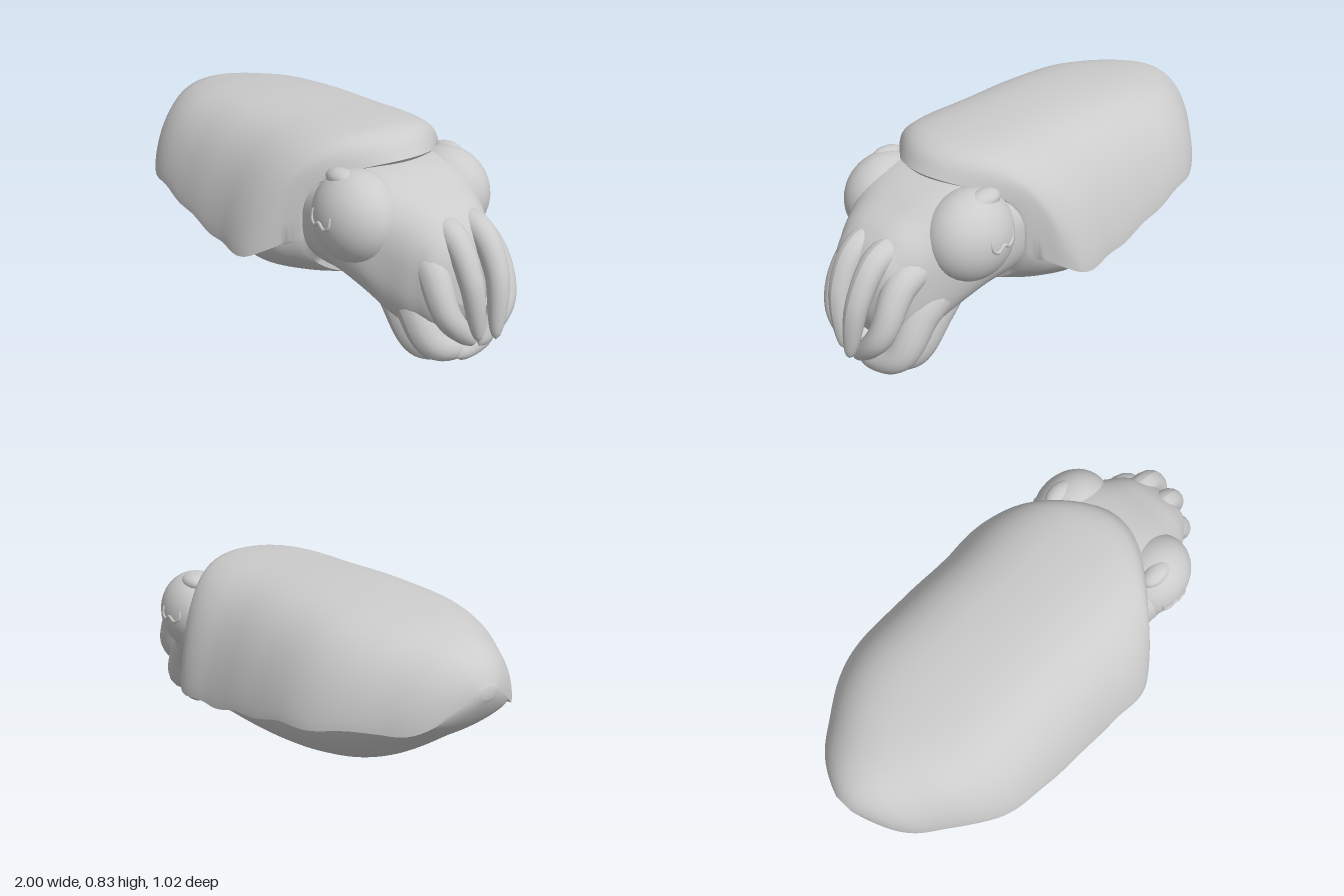
import * as THREE from 'three';
import { toCreasedNormals } from 'three/addons/utils/BufferGeometryUtils.js';

const material = new THREE.MeshStandardMaterial({ color: 0xcccccc, side: THREE.DoubleSide });
const { smoothstep, lerp } = THREE.MathUtils;

function add(parent, name, geometry) {
  const mesh = new THREE.Mesh(geometry, material);
  mesh.name = name;
  parent.add(mesh);
  return mesh;
}

// Skin rings along x. Rows hold [x, top, bottom, halfWidth, edgeHeight], splined in between.
function loft(rows, section, nx, nr) {
  const spline = new THREE.CubicInterpolant(rows.map(r => r[0]), rows.flatMap(r => r.slice(1)), 4);
  const x0 = rows[0][0], x1 = rows[rows.length - 1][0];
  const pos = [], index = [];
  for (let i = 0; i <= nx; i++) {
    const x = lerp(x0, x1, (1 - Math.cos(Math.PI * i / nx)) / 2);
    const [top, bottom, w, edge] = spline.evaluate(x);
    for (let j = 0; j < nr; j++) pos.push(...section(x, top, bottom, w, edge, 2 * Math.PI * j / nr));
  }
  for (let i = 0; i < nx; i++) for (let j = 0; j < nr; j++) {
    const a = i * nr + j, b = i * nr + (j + 1) % nr;
    index.push(a, a + nr, b, b, a + nr, b + nr);
  }
  // end caps
  const first = rows[0], last = rows[rows.length - 1], c = (nx + 1) * nr;
  pos.push(x0, first[4], 0, x1, (last[1] + last[2]) / 2, 0);
  for (let j = 0; j < nr; j++) {
    const k = (j + 1) % nr;
    index.push(c, j, k, c + 1, nx * nr + k, nx * nr + j);
  }
  const g = new THREE.BufferGeometry();
  g.setAttribute('position', new THREE.Float32BufferAttribute(pos, 3));
  g.setIndex(index);
  g.computeVertexNormals();
  return g;
}

// Domed back over a narrower belly; the step between them forms the side fins.
function mantleSection(x, top, bottom, w, edge, t) {
  const s = Math.sin(t), c = Math.cos(t);
  const collar = smoothstep(x, 0.2, 0.35);
  if (s > -1e-6) {
    const up = Math.max(s, 0);
    const finEdge = edge + 0.006 * Math.sin(24 * x) * (1 - smoothstep(x, 0.1, 0.3));
    const dome = lerp(up, up * up * (3 - 2 * up), 0.6 * smoothstep(x, -1, -0.5));
    const height = lerp(dome, Math.sqrt(up), collar);
    const forward = 0.2 * smoothstep(x, -0.3, 0.35) * Math.pow(up, 2.5);
    return [x + forward, finEdge + (top - finEdge) * height, w * c];
  }
  const root = edge + 0.03 * (1 - collar) * smoothstep(x, -1, -0.85);
  return [x, root - (root - bottom) * Math.pow(-s, 1.2), lerp(0.88, 1, collar) * w * c];
}

// Boxy brow above, rounder throat below
function headSection(x, top, bottom, w, edge, t) {
  const s = Math.sin(t), c = Math.cos(t);
  const power = s > 0 ? 0.72 : 0.84;
  const round = v => Math.sign(v) * Math.pow(Math.abs(v), power);
  return [x, edge + (s > 0 ? top - edge : edge - bottom) * round(s), w * round(c)];
}

// Tube whose radius follows a function of its length
function taperedTube(points, radius, segments = 40, sides = 16) {
  const curve = new THREE.CatmullRomCurve3(points.map(p => new THREE.Vector3(...p)));
  const g = new THREE.TubeGeometry(curve, segments, 1, sides);
  const p = g.attributes.position, v = new THREE.Vector3();
  for (let i = 0; i < p.count; i++) {
    const u = Math.floor(i / (sides + 1)) / segments;
    const centre = curve.getPointAt(u);
    v.fromBufferAttribute(p, i).sub(centre).multiplyScalar(radius(u)).add(centre);
    p.setXYZ(i, v.x, v.y, v.z);
  }
  g.computeVertexNormals();
  return g;
}

export function createModel() {
  const model = new THREE.Group();
  model.name = 'cuttlefish';

  // mantle with fins
  const mantle = loft([
    [-1.0, 0.62, 0.57, 0.04, 0.59],
    [-0.98, 0.66, 0.53, 0.10, 0.55],
    [-0.93, 0.71, 0.46, 0.20, 0.485],
    [-0.8, 0.765, 0.36, 0.32, 0.46],
    [-0.6, 0.80, 0.225, 0.45, 0.44],
    [-0.4, 0.82, 0.16, 0.485, 0.415],
    [-0.2, 0.83, 0.14, 0.495, 0.375],
    [0.0, 0.83, 0.155, 0.50, 0.345],
    [0.2, 0.825, 0.185, 0.50, 0.345],
    [0.26, 0.815, 0.195, 0.455, 0.375],
    [0.31, 0.785, 0.205, 0.395, 0.41],
    [0.35, 0.73, 0.215, 0.35, 0.44],
  ], mantleSection, 90, 96);
  add(model, 'mantle', toCreasedNormals(mantle, 0.8));

  // head narrowing into the arm crown
  add(model, 'head', loft([
    [0.2, 0.66, 0.28, 0.31, 0.5],
    [0.36, 0.70, 0.265, 0.34, 0.5],
    [0.5, 0.72, 0.265, 0.345, 0.51],
    [0.6, 0.70, 0.21, 0.305, 0.48],
    [0.7, 0.655, 0.14, 0.245, 0.42],
    [0.8, 0.595, 0.15, 0.19, 0.37],
    [0.87, 0.50, 0.22, 0.13, 0.36],
    [0.89, 0.43, 0.28, 0.07, 0.36],
  ], headSection, 48, 56));

  // eyes with wavy pupils and brow bumps
  const eye = { x: 0.52, y: 0.545, z: 0.22, rx: 0.185, ry: 0.178, rz: 0.155 };
  const pupil = [[0.44, 0.588], [0.443, 0.55], [0.47, 0.535], [0.5, 0.552], [0.53, 0.535], [0.553, 0.55], [0.556, 0.588]];
  for (const side of [1, -1]) {
    const label = side > 0 ? 'left' : 'right';
    const ball = add(model, label + 'Eye', new THREE.SphereGeometry(1, 40, 28));
    ball.scale.set(eye.rx, eye.ry, eye.rz);
    ball.position.set(eye.x, eye.y, side * eye.z);

    const surface = pupil.map(([x, y]) => {
      const d = 1 - ((x - eye.x) / eye.rx) ** 2 - ((y - eye.y) / eye.ry) ** 2;
      return [x, y, side * (eye.z + eye.rz * Math.sqrt(d))];
    });
    add(model, label + 'Pupil', taperedTube(surface, u => 0.007 * Math.sqrt(Math.max(0, 1 - (2 * u - 1) ** 8)), 40, 8));

    const brow = add(model, label + 'Brow', new THREE.SphereGeometry(0.045, 20, 14));
    brow.scale.set(1.6, 0.8, 1);
    brow.position.set(0.48, 0.69, side * 0.26);
  }

  // four pairs of curling arms, the lower ones crossing at the tips
  const arms = [
    ['dorsalArm', 0.06, [[0.66, 0.53, 0.055], [0.83, 0.53, 0.06], [0.93, 0.40, 0.057], [0.97, 0.16, 0.03]]],
    ['upperArm', 0.072, [[0.62, 0.49, 0.13], [0.8, 0.44, 0.14], [0.9, 0.27, 0.13], [0.92, 0.12, 0]]],
    ['lowerArm', 0.09, [[0.54, 0.42, 0.16], [0.72, 0.29, 0.15], [0.82, 0.125, 0.12], [0.86, 0.06, -0.05]]],
    ['ventralArm', 0.094, [[0.5, 0.38, 0.1], [0.635, 0.245, 0.125], [0.73, 0.085, 0.1], [0.785, 0.018, -0.01]]],
  ];
  for (const [name, r, path] of arms) for (const side of [1, -1]) {
    const points = path.map(([x, y, z], i) => [x - side * 0.004 * i, y, side * z - 0.02]);
    const taper = u => r * (1 - 0.45 * u) * Math.sqrt(Math.max(0, 1 - u ** 9));
    add(model, (side > 0 ? 'left ' : 'right ') + name, taperedTube(points, taper));
  }

  // siphon under the head
  add(model, 'siphon', taperedTube([[0.26, 0.31, 0], [0.36, 0.25, 0], [0.43, 0.21, 0], [0.495, 0.18, 0]],
    u => lerp(0.11, 0.055, u) * Math.sqrt(Math.max(0, 1 - u ** 10)), 30, 20));

  return model;
}
